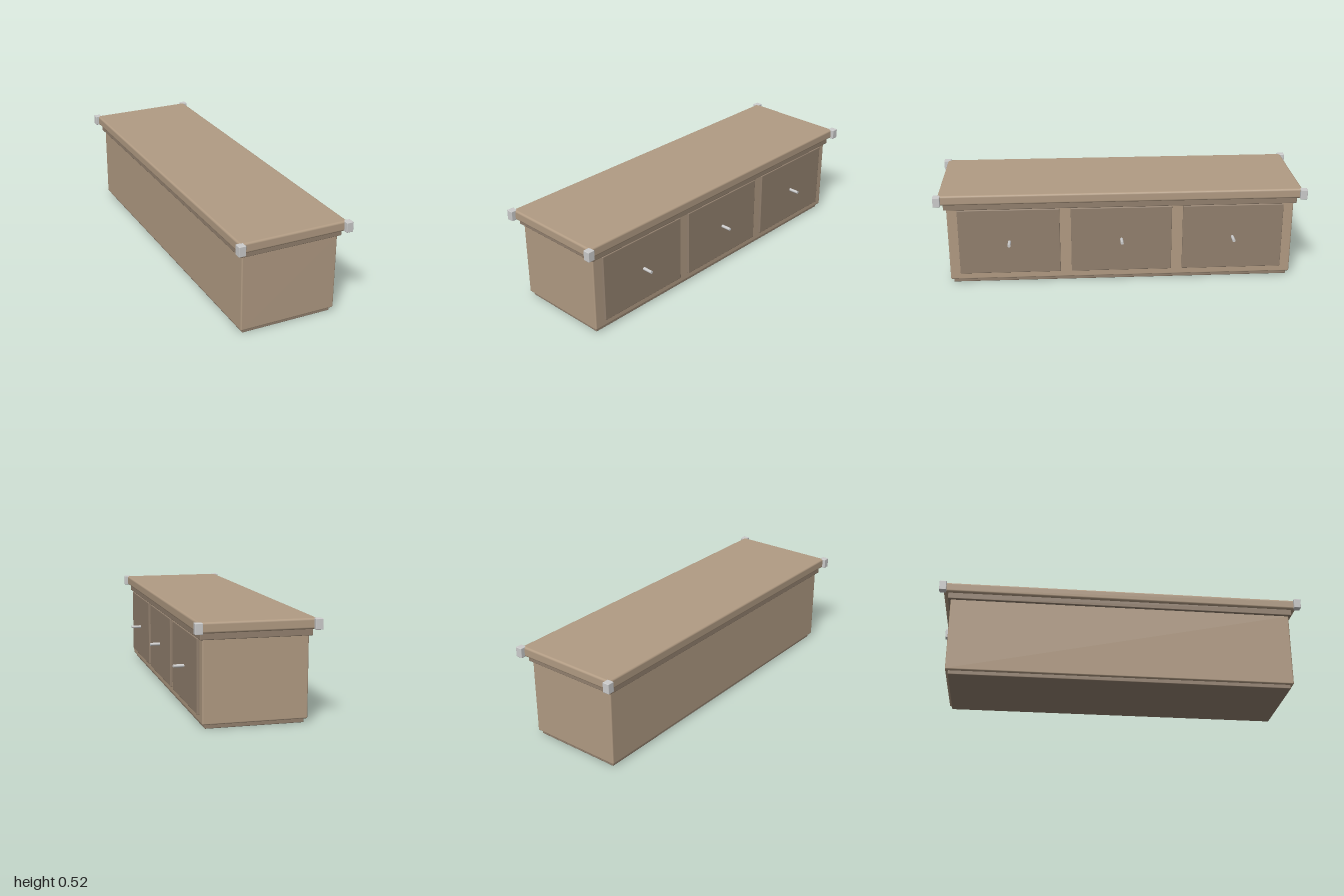
import * as THREE from 'three';
import { RoundedBoxGeometry } from 'three/addons/geometries/RoundedBoxGeometry.js';

const wood = new THREE.MeshStandardMaterial({ color: 0xb19b83 });
const darkWood = new THREE.MeshStandardMaterial({ color: 0x92806e });
const metal = new THREE.MeshStandardMaterial({ color: 0xcccccc });

// Softly rounded block between two corners
function block(name, [x0, y0, z0], [x1, y1, z1], radius, material) {
  const mesh = new THREE.Mesh(new RoundedBoxGeometry(x1 - x0, y1 - y0, z1 - z0, 3, radius), material);
  mesh.position.set((x0 + x1) / 2, (y0 + y1) / 2, (z0 + z1) / 2);
  mesh.name = name;
  return mesh;
}

export function createModel() {
  const cabinet = new THREE.Group();
  cabinet.name = 'lowCabinet';

  // Stacked carcass: plinth, body, moulding under the top, top board
  cabinet.add(
    block('plinth', [-0.26, 0, -0.923], [0.239, 0.03, 0.923], 0.004, darkWood),
    block('body', [-0.275, 0.022, -0.938], [0.254, 0.441, 0.938], 0.007, wood),
    block('moulding', [-0.29, 0.435, -0.952], [0.268, 0.474, 0.952], 0.004, darkWood),
    block('topBoard', [-0.306, 0.469, -0.977], [0.284, 0.523, 0.977], 0.011, wood),
  );

  // Metal caps on the four corners of the top
  for (const x of [-0.3045, 0.2835]) {
    for (const z of [-0.981, 0.981]) {
      cabinet.add(block('cornerCap', [x - 0.019, 0.469, z - 0.019], [x + 0.019, 0.523, z + 0.019], 0.003, metal));
    }
  }

  // Three drawer fronts with a rod handle each, along the +x side
  for (const z of [-0.608, 0, 0.608]) {
    const drawer = new THREE.Group();
    drawer.name = 'drawer';
    drawer.add(block('drawerFront', [0.24, 0.061, z - 0.274], [0.267, 0.432, z + 0.274], 0.004, darkWood));
    const handle = new THREE.Mesh(new THREE.CylinderGeometry(0.0085, 0.0085, 0.063, 12), metal);
    handle.rotation.z = -Math.PI / 2;
    handle.position.set(0.2915, 0.246, z);
    handle.name = 'handle';
    drawer.add(handle);
    cabinet.add(drawer);
  }
  return cabinet;
}
